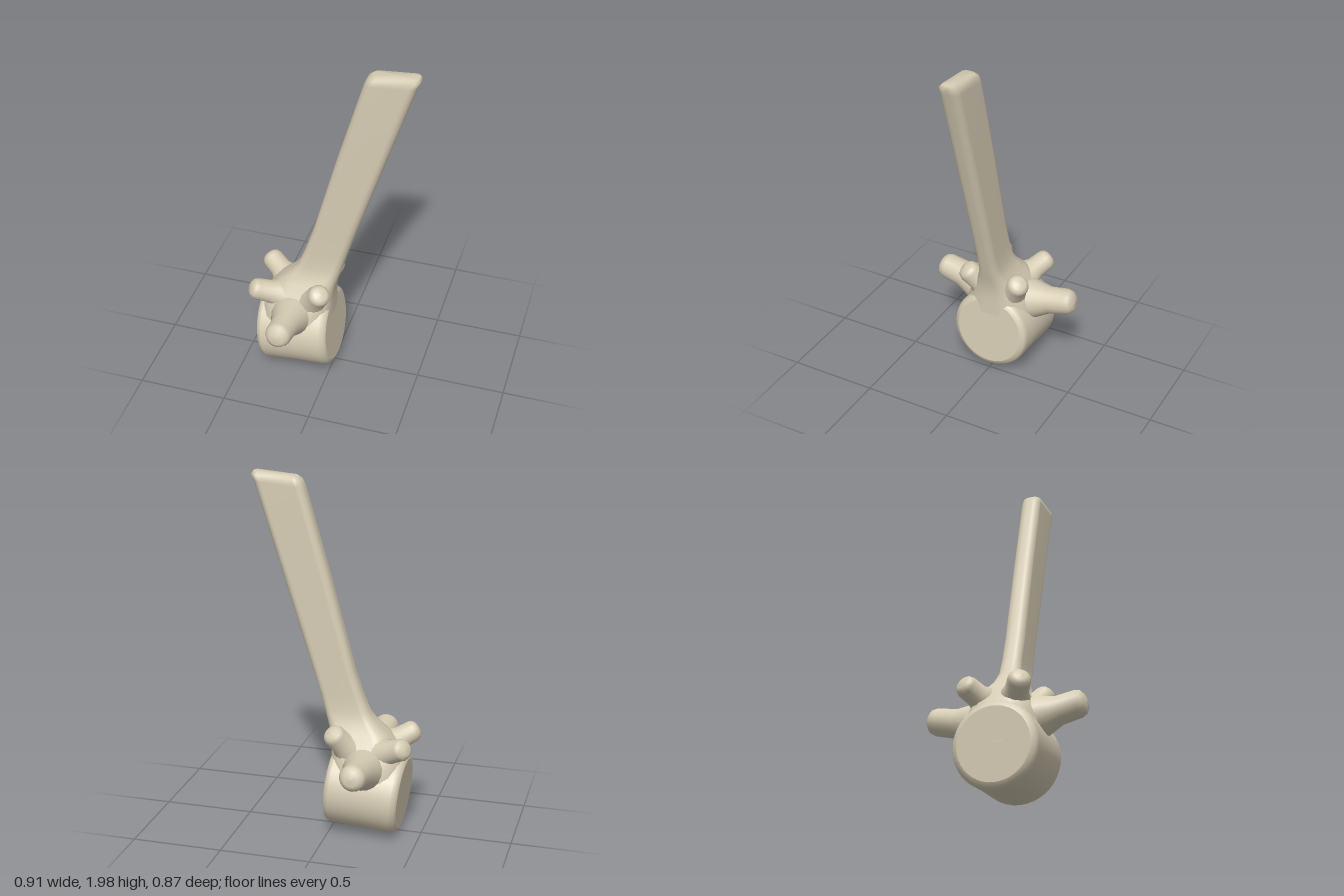
import * as THREE from 'three';

const bone = new THREE.MeshStandardMaterial({ color: 0xd6ccb4 });
bone.name = 'bone';

// Lofts rounded rectangles [y, xMin, xMax, halfDepth, tilt] up the y axis, closed at the top.
function loft(sections) {
  const steps = 6, n = steps * 4, pos = [], idx = [];
  for (const [y, x0, x1, hz, tilt = 0] of sections) {
    const r = hz * 0.75, cx = (x0 + x1) / 2, hx = (x1 - x0) / 2;
    for (let c = 0; c < 4; c++) {
      const sx = c === 0 || c === 3 ? 1 : -1, sz = c < 2 ? 1 : -1;
      for (let k = 0; k < steps; k++) {
        const a = (c + k / (steps - 1)) * Math.PI / 2;
        const x = cx + sx * (hx - r) + r * Math.cos(a);
        pos.push(x, y + tilt * (x - x1), sz * (hz - r) + r * Math.sin(a));
      }
    }
  }
  for (let j = 0; j < sections.length - 1; j++) {
    for (let i = 0; i < n; i++) {
      const a = j * n + i, b = j * n + (i + 1) % n;
      idx.push(a, a + n, b, b, a + n, b + n);
    }
  }
  const [y, x0, x1, , tilt = 0] = sections[sections.length - 1];
  const last = (sections.length - 1) * n, centre = pos.length / 3;
  pos.push((x0 + x1) / 2, y + tilt * (x0 - x1) / 2, 0);
  for (let i = 0; i < n; i++) idx.push(centre, last + (i + 1) % n, last + i);
  const g = new THREE.BufferGeometry();
  g.setAttribute('position', new THREE.Float32BufferAttribute(pos, 3));
  g.setIndex(idx);
  g.computeVertexNormals();
  return g;
}

// Tapered bony knob with a flared root at a and a blunt rounded tip at b.
function knob(name, a, b, rootR, tipR) {
  const from = new THREE.Vector3(...a), dir = new THREE.Vector3(...b).sub(from);
  const len = dir.length();
  const profile = [
    [rootR, 0], [rootR * 0.85 + tipR * 0.15, len * 0.2], [tipR * 1.05, len * 0.5],
    [tipR, len - tipR * 0.65], [tipR * 0.86, len - tipR * 0.28],
    [tipR * 0.55, len - tipR * 0.06], [0, len],
  ].map(([r, h]) => new THREE.Vector2(r, h));
  const mesh = new THREE.Mesh(new THREE.LatheGeometry(profile, 18), bone);
  mesh.name = name;
  mesh.position.copy(from);
  mesh.quaternion.setFromUnitVectors(new THREE.Vector3(0, 1, 0), dir.normalize());
  return mesh;
}

export function createModel() {
  const model = new THREE.Group();
  model.name = 'vertebra';

  // Drum-shaped body lying along x, slightly tilted
  const h = 0.205, R = 0.23;
  const drum = [
    [0, -h], [R - 0.035, -h], [R - 0.035, -h], [R - 0.012, -h + 0.01], [R, -h + 0.035],
    [R - 0.003, 0],
    [R, h - 0.035], [R - 0.012, h - 0.01], [R - 0.035, h], [R - 0.035, h], [0, h],
  ].map(([r, y]) => new THREE.Vector2(r, y));
  const body = new THREE.Mesh(new THREE.LatheGeometry(drum, 40), bone);
  body.name = 'body';
  body.rotation.z = -Math.PI / 2 + 0.085;
  body.position.set(-0.195, 0.26, 0);
  model.add(body);

  // Arch that narrows into the long leaning spine
  const spine = new THREE.Mesh(loft([
    [0.25, -0.40, 0.0, 0.21],
    [0.40, -0.41, 0.0, 0.2],
    [0.48, -0.39, 0.0, 0.17],
    [0.54, -0.355, 0.003, 0.135],
    [0.60, -0.30, 0.015, 0.1],
    [0.65, -0.245, 0.03, 0.075],
    [0.71, -0.2, 0.048, 0.06],
    [0.80, -0.165, 0.073, 0.056],
    [0.95, -0.115, 0.118, 0.056],
    [1.45, 0.02, 0.275, 0.056],
    [1.95, 0.158, 0.432, 0.056, 0.08],
    [1.985, 0.175, 0.45, 0.05, 0.08],
    [2.0, 0.2, 0.436, 0.034, 0.08],
  ]), bone);
  spine.name = 'archAndSpine';
  model.add(spine);

  // Paired processes on both sides
  for (const s of [1, -1]) {
    const side = s > 0 ? 'front' : 'back';
    model.add(
      knob(side + 'TransverseProcess', [-0.205, 0.42, s * 0.13], [-0.205, 0.485, s * 0.43], 0.115, 0.073),
      knob(side + 'LeadingArticularProcess', [-0.26, 0.48, s * 0.05], [-0.442, 0.575, s * 0.16], 0.1, 0.06),
      knob(side + 'TrailingArticularProcess', [-0.13, 0.46, s * 0.05], [-0.025, 0.635, s * 0.175], 0.11, 0.062),
    );
  }
  return model;
}
